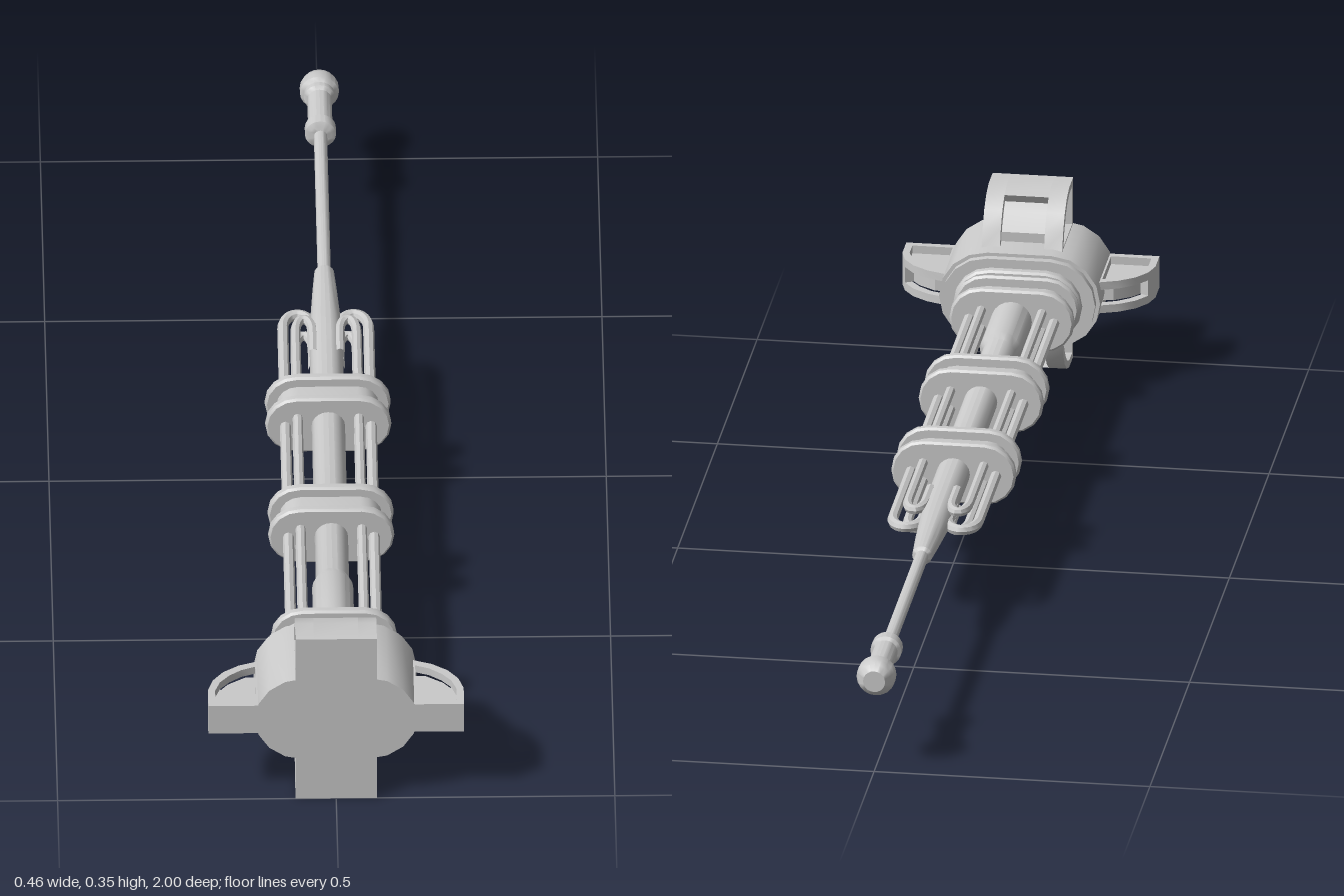
import * as THREE from 'three';
import { toCreasedNormals } from 'three/addons/utils/BufferGeometryUtils.js';

const AXIS_Y = 0.174;

export function createModel() {
  const model = new THREE.Group();
  const body = new THREE.Group(); // everything is built around the z axis
  body.name = 'antennaMast';
  body.position.y = AXIS_Y;
  model.add(body);
  const metal = new THREE.MeshStandardMaterial({ color: 0xcacaca });
  metal.name = 'lightGreyMetal';

  const add = (name, geometry, parent = body) => {
    const mesh = new THREE.Mesh(toCreasedNormals(geometry, 0.6), metal);
    mesh.name = name;
    parent.add(mesh);
    return mesh;
  };

  // Stadium-shaped slab between two z positions
  const stadium = (name, straight, r, z0, z1, bevel = 0) => {
    const s = new THREE.Shape();
    const q = r - bevel;
    s.absarc(straight, 0, q, -Math.PI / 2, Math.PI / 2, false);
    s.absarc(-straight, 0, q, Math.PI / 2, Math.PI * 1.5, false);
    const g = new THREE.ExtrudeGeometry(s, {
      depth: z1 - z0 - 2 * bevel, curveSegments: 4, bevelEnabled: bevel > 0,
      bevelSize: bevel, bevelThickness: bevel, bevelSegments: 1,
    });
    g.translate(0, 0, z0 + bevel);
    add(name, g);
  };

  // Base housing with stepped flange
  stadium('baseHousing', 0.058, 0.088, 0.832, 1);
  stadium('baseShoulder', 0.057, 0.082, 0.818, 0.832);
  stadium('baseFlange', 0.05, 0.066, 0.8, 0.82, 0.004);

  // Cable spools: core between two lips
  for (const [z0, z1] of [[-0.002, 0.083], [0.343, 0.43], [0.73, 0.812]]) {
    stadium('spoolCore', 0.053, 0.039, z0 + 0.01, z1 - 0.01);
    stadium('spoolLip', 0.055, 0.058, z0, z0 + 0.018, 0.004);
    stadium('spoolLip', 0.055, 0.058, z1 - 0.018, z1, 0.004);
  }

  // Turned shaft, taper, thin rod and tip
  const profile = [
    [0, -1], [0.02, -1], [0.03, -0.99], [0.035, -0.978], [0.035, -0.96], [0.028, -0.954],
    [0.028, -0.944], [0.022, -0.938], [0.022, -0.856], [0.028, -0.852], [0.028, -0.83], [0.02, -0.826],
    [0.012, -0.824], [0.012, -0.4], [0.018, -0.395], [0.022, -0.34], [0.028, -0.24],
    [0.03, -0.18], [0.03, 0.57], [0.037, 0.59], [0.037, 0.8], [0, 0.8],
  ].map(([r, z]) => new THREE.Vector2(r, z));
  add('shaft', new THREE.LatheGeometry(profile, 20).rotateX(Math.PI / 2));

  // Conduits running through the spools and hooking into the shaft
  const conduit = (x, y, tip, r) => {
    const side = Math.sign(x);
    const bend = 0.045;
    const path = new THREE.CurvePath();
    const v = (px, pz) => new THREE.Vector3(px, y, pz);
    const zb = tip + bend;
    const end = side * 0.024;
    path.add(new THREE.LineCurve3(v(x, 0.8), v(x, zb)));
    path.add(new THREE.CubicBezierCurve3(v(x, zb), v(x, tip - bend * 0.33), v(end, tip - bend * 0.33), v(end, zb)));
    path.add(new THREE.LineCurve3(v(end, zb), v(end, zb + 0.06)));
    add('conduit', new THREE.TubeGeometry(path, 200, r, 8, false));
  };
  for (const s of [-1, 1]) {
    conduit(s * 0.077, 0, -0.265, 0.01);
    conduit(s * 0.055, 0.018, -0.225, 0.009);
    conduit(s * 0.055, -0.018, -0.225, 0.009);
  }

  // Curved fin: two open side frames around a solid web, notched near the root
  const points = (pts) => pts.map(([a, h]) => new THREE.Vector2(a, h));
  const outline = [[0, -0.02], [0.15, -0.02], [0.138, 0], [0.126, 0.032], [0.106, 0.06], [0.08, 0.079], [0.05, 0.088], [0, 0.088]];
  const opening = [[0.013, 0.002], [0.122, 0.002], [0.112, 0.027], [0.095, 0.049], [0.074, 0.066], [0.048, 0.075], [0.013, 0.075]];
  const webOutline = [[0, -0.02], [0.11, -0.02], [0.11, 0.02], [0.088, 0.052], [0.072, 0.064], [0.08, 0.079], [0.05, 0.088], [0, 0.088]];
  const slab = (shape, w0, w1) => {
    const g = new THREE.ExtrudeGeometry(shape, { depth: w1 - w0, bevelEnabled: false });
    return g.translate(0, 0, w0).rotateY(Math.PI / 2);
  };
  const frame = new THREE.Shape(points(outline));
  frame.holes.push(new THREE.Path(points(opening)));
  const web = new THREE.Shape(points(webOutline));
  for (let k = 0; k < 4; k++) {
    const flank = k % 2 === 1;
    const half = flank ? 0.03 : 0.073;
    const inner = flank ? 0.015 : 0.04;
    const fin = new THREE.Group();
    fin.name = flank ? 'sideFin' : 'verticalFin';
    add('finFrame', slab(frame, inner, half), fin);
    add('finFrame', slab(frame, -half, -inner), fin);
    add('finWeb', slab(web, -inner, inner), fin);
    fin.children.forEach((m) => m.position.set(0, flank ? 0.1415 : 0.086, 1));
    fin.rotation.z = k * Math.PI / 2;
    body.add(fin);
  }
  return model;
}
